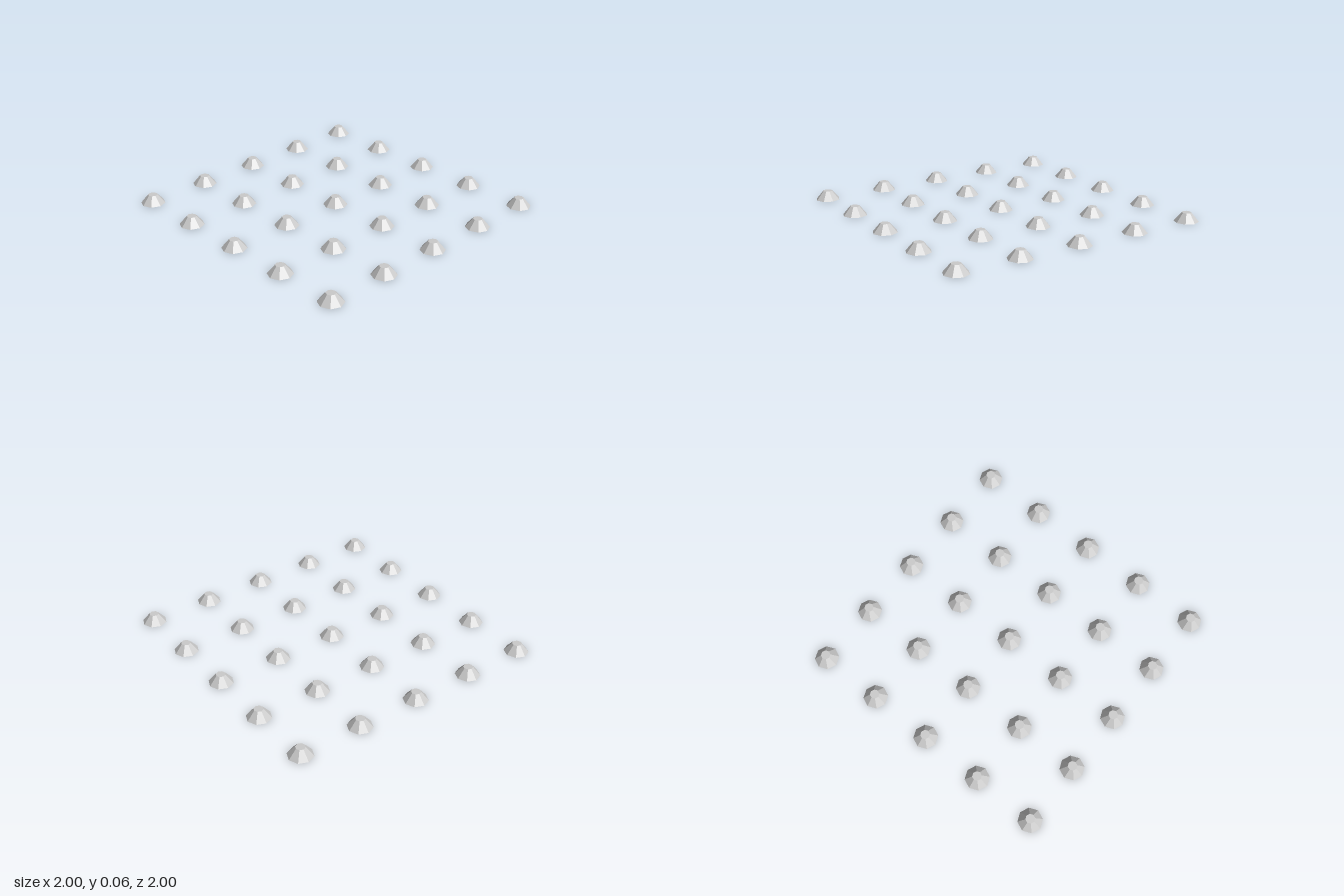
import * as THREE from 'three';

const COUNT = 5;
const SPACING = 0.457;
const RADIUS = 0.086;
const HEIGHT = 0.063;

export function createModel() {
  const model = new THREE.Group();
  model.name = 'studGrid';

  const material = new THREE.MeshStandardMaterial({
    color: 0xcccccc, flatShading: true, side: THREE.DoubleSide,
  });

  // Hollow eight-sided stud: sloping wall and small flat crown, open below
  const profile = [[RADIUS, 0], [0.033, HEIGHT], [0, HEIGHT]]
    .map(([r, y]) => new THREE.Vector2(r, y));
  const studGeometry = new THREE.LatheGeometry(profile, 8);

  // Square grid of studs, row by row from the back
  const middle = (COUNT - 1) / 2;
  for (let row = 0; row < COUNT; row++) {
    const studRow = new THREE.Group();
    studRow.name = `studRow${row + 1}`;
    studRow.position.z = (row - middle) * SPACING;
    for (let col = 0; col < COUNT; col++) {
      const stud = new THREE.Mesh(studGeometry, material);
      stud.name = `stud${col + 1}`;
      stud.position.x = (col - middle) * SPACING;
      studRow.add(stud);
    }
    model.add(studRow);
  }
  return model;
}
